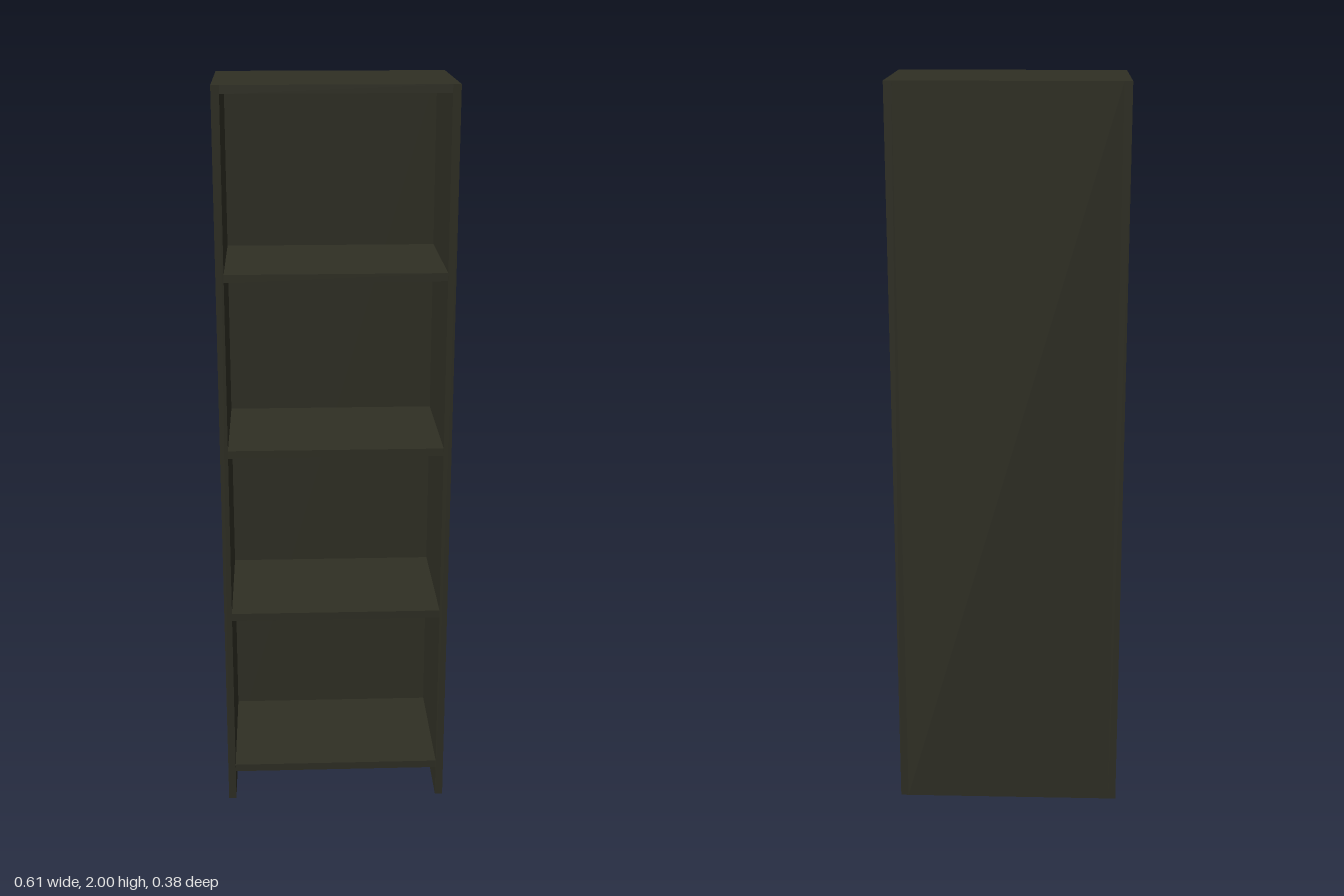
import * as THREE from 'three';

export function createModel() {
  const group = new THREE.Group();
  const darkWood = new THREE.MeshStandardMaterial({ color: 0x2f2f24 });
  darkWood.name = 'darkWood';

  const width = 0.614, height = 2, depth = 0.378;
  const board = 0.021, backBoard = 0.008;

  const addBoard = (name, w, h, d, x, y, z) => {
    const mesh = new THREE.Mesh(new THREE.BoxGeometry(w, h, d), darkWood);
    mesh.name = name;
    mesh.position.set(x, y, z);
    group.add(mesh);
  };

  // Full-height side boards
  const sideX = (width - board) / 2;
  addBoard('leftSide', board, height, depth, sideX, height / 2, 0);
  addBoard('rightSide', board, height, depth, -sideX, height / 2, 0);

  // Boards fitted between the sides
  const inner = width - 2 * board;
  const innerDepth = depth - backBoard;
  addBoard('backPanel', inner, height, backBoard, 0, height / 2, (backBoard - depth) / 2);
  addBoard('topBoard', inner, board, innerDepth, 0, height - board / 2, backBoard / 2);

  // Evenly spaced shelves, the lowest raised above the floor
  const shelfDepth = innerDepth - 0.002;
  for (let i = 0; i < 4; i++) {
    const y = 0.097 + i * 0.474;
    addBoard(i === 0 ? 'bottomShelf' : `shelf${i}`, inner, board, shelfDepth, 0, y, backBoard / 2 - 0.001);
  }

  return group;
}
